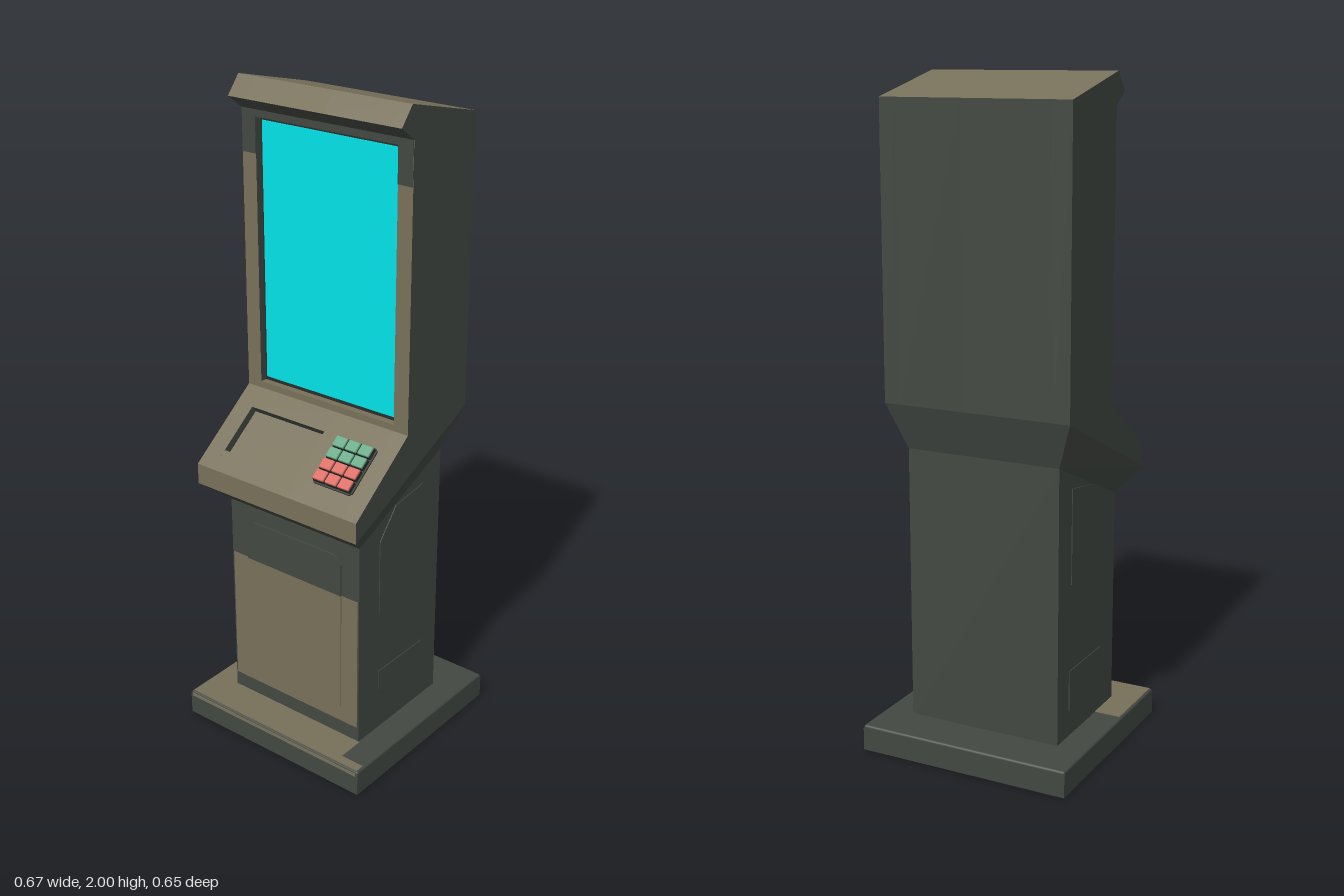
import * as THREE from 'three';
import { RoundedBoxGeometry } from 'three/addons/geometries/RoundedBoxGeometry.js';

const mat = (name, color) => {
  const m = new THREE.MeshStandardMaterial({ color });
  m.name = name;
  return m;
};

export function createModel() {
  const model = new THREE.Group();
  model.name = 'kiosk';
  const dark = mat('dark grey', 0x424842);
  const tan = mat('tan', 0x777059);
  const cyan = mat('screen cyan', 0x00e6ea);
  const black = mat('shadow grey', 0x2a2d29);
  const green = mat('key green', 0x66a886);
  const red = mat('key red', 0xd8695f);

  const add = (name, geo, material, parent = model) => {
    const m = new THREE.Mesh(geo, material);
    m.name = name;
    parent.add(m);
    return m;
  };
  const box = (name, material, x0, x1, y0, y1, z0, z1, parent) => {
    const g = new THREE.BoxGeometry(x1 - x0, y1 - y0, z1 - z0);
    g.translate((x0 + x1) / 2, (y0 + y1) / 2, (z0 + z1) / 2);
    return add(name, g, material, parent);
  };
  const shapeOf = (pts) => new THREE.Shape(pts.map(([a, b]) => new THREE.Vector2(a, b)));

  // Side profile given as [z, y], extruded from x0 to x1
  const prism = (pts, x0, x1) => {
    const g = new THREE.ExtrudeGeometry(shapeOf(pts), { depth: x1 - x0, bevelEnabled: false });
    return g.rotateY(-Math.PI / 2).translate(x1, 0, 0);
  };
  // Choose a material index for each triangle from its normal
  const paint = (g, rule) => {
    g.clearGroups();
    const n = g.attributes.normal;
    for (let i = 0; i < n.count; i += 3) g.addGroup(i, 3, rule(n.getX(i), n.getY(i), n.getZ(i)));
    return g;
  };
  // Rectangle with chamfered corners, extruded forward
  const chamferPlate = (x0, x1, y0, y1, c0, c1, depth) => new THREE.ExtrudeGeometry(shapeOf([
    [x0 + c0, y0], [x1 - c0, y0], [x1, y0 + c0], [x1, y1 - c1],
    [x1 - c1, y1], [x0 + c1, y1], [x0, y1 - c1], [x0, y0 + c0],
  ]), { depth, bevelEnabled: false });

  // Base: thin slab over a deep hollow rim
  add('baseSlab', new RoundedBoxGeometry(0.67, 0.022, 0.65, 2, 0.007).translate(0, 0.069, 0), dark);
  const rim = shapeOf([[-0.335, -0.325], [0.335, -0.325], [0.335, 0.325], [-0.335, 0.325]]);
  rim.holes.push(new THREE.Path([[-0.315, -0.305], [-0.315, 0.305], [0.315, 0.305], [0.315, -0.305]]
    .map(([a, b]) => new THREE.Vector2(a, b))));
  add('baseRim', new THREE.ExtrudeGeometry(rim, { depth: 0.07, bevelEnabled: false })
    .rotateX(-Math.PI / 2), dark);
  box('baseFrontTrim', tan, -0.328, 0.25, 0.077, 0.0815, 0.205, 0.319);
  box('baseCornerTrim', tan, 0.25, 0.328, 0.077, 0.0815, 0.29, 0.319);
  box('baseSideTrim', tan, -0.328, -0.245, 0.077, 0.0815, 0.08, 0.205);
  box('baseFrontEdge', tan, -0.328, 0.328, 0.064, 0.074, 0.322, 0.3265);

  // Column with a sloping top
  add('column', prism([[0.205, 0.07], [0.205, 0.75], [-0.185, 0.92], [-0.185, 0.07]], -0.245, 0.245), dark);
  box('columnFrontPaint', tan, -0.24, 0.24, 0.13, 0.57, 0.203, 0.2065);
  add('frontPanelUpper', chamferPlate(-0.18, 0.18, 0.57, 0.7, 0, 0.025, 0.007).translate(0, 0, 0.203), dark);
  add('frontPanelLower', chamferPlate(-0.18, 0.18, 0.155, 0.57, 0.025, 0, 0.007).translate(0, 0, 0.203), tan);

  // Shallow raised side panels, mirrored
  const sidePanels = {
    upperSidePanel: [[0.035, 0.82], [-0.1, 0.84], [-0.1, 0.55], [0.11, 0.485], [0.11, 0.73]],
    lowerSidePanel: [[0.11, 0.285], [-0.11, 0.285], [-0.11, 0.16], [0.055, 0.16], [0.11, 0.22]],
  };
  for (const [name, pts] of Object.entries(sidePanels)) {
    add(name + 'Left', prism(pts, 0.242, 0.2475), dark);
    add(name + 'Right', prism(pts, -0.2475, -0.242), dark);
  }

  // Neck: flares from the column ring up to the body ring
  const ring = (w, yf, zf, yb, zb) => [[-w, yf, zf], [w, yf, zf], [w, yb, zb], [-w, yb, zb]];
  const low = ring(0.245, 0.75, 0.205, 0.92, -0.185);
  const high = ring(0.297, 0.82, 0.29, 1.06, -0.228);
  const neckPos = [];
  for (let i = 0; i < 4; i++) {
    const j = (i + 1) % 4;
    neckPos.push(...low[i], ...low[j], ...high[j], ...low[i], ...high[j], ...high[i]);
  }
  const neck = new THREE.BufferGeometry();
  neck.setAttribute('position', new THREE.Float32BufferAttribute(neckPos, 3));
  neck.computeVertexNormals();
  add('neck', neck, dark);

  // Body in slices: some are notched for the tray and the screen recess
  const tray = [[0.235, 0.927], [0.22, 0.907], [0.095, 1.003], [0.11, 1.023]];
  const recess = [[0.055, 1.085], [0.03, 1.085], [0.03, 1.885], [0.055, 1.885]];
  const bodyProfile = (trayCut, screenCut) => [
    [0.29, 0.82], [0.29, 0.885], ...trayCut, [0.055, 1.065], ...screenCut, [0.055, 1.905],
    [0.11, 1.945], [0.065, 2], [-0.228, 1.93], [-0.228, 1.06],
  ];
  const bodyRule = (nx, ny, nz) => (Math.abs(nx) > 0.5 || nz < -0.9 || ny < -0.3 ? 0 : 1);
  for (const [name, x0, x1, trayCut, screenCut] of [
    ['bodyRightSide', -0.297, -0.247, [], []],
    ['bodyRight', -0.247, -0.237, [], recess],
    ['bodyTraySlice', -0.237, 0.04, tray, recess],
    ['bodyLeft', 0.04, 0.247, [], recess],
    ['bodyLeftSide', 0.247, 0.297, [], []],
  ]) add(name, paint(prism(bodyProfile(trayCut, screenCut), x0, x1), bodyRule), [dark, tan]);

  // Recessed screen, its surround and the dark patches under the hood
  box('screenSurround', black, -0.247, 0.247, 1.085, 1.885, 0.028, 0.033);
  box('screen', cyan, -0.24, 0.24, 1.097, 1.873, 0.03, 0.036);
  box('hoodBand', dark, -0.296, 0.296, 1.885, 1.905, 0.052, 0.0565);
  for (const s of [-1, 1]) {
    box('hoodPatch', dark, s * 0.2715 - 0.0245, s * 0.2715 + 0.0245, 1.78, 1.885, 0.052, 0.0565);
  }

  // Keypad on the sloping console: dark keys with coloured caps
  const keypad = new THREE.Group();
  keypad.name = 'keypad';
  keypad.position.set(0.167, 0.975, 0.1725);
  keypad.rotation.x = -0.917;
  model.add(keypad);
  add('keypadPlate', chamferPlate(-0.071, 0.071, -0.079, 0.079, 0.008, 0.008, 0.004), black, keypad);
  for (let row = 0; row < 4; row++) {
    for (let col = 0; col < 3; col++) {
      const key = new THREE.Group();
      key.name = 'key';
      key.position.set((col - 1) * 0.045, (1.5 - row) * 0.038, 0);
      keypad.add(key);
      box('keyBody', black, -0.02, 0.02, -0.0165, 0.0165, 0, 0.016, key);
      add('keyCap', new RoundedBoxGeometry(0.04, 0.033, 0.009, 1, 0.003).translate(0, 0, 0.0185),
        row < 2 ? green : red, key);
    }
  }
  return model;
}
